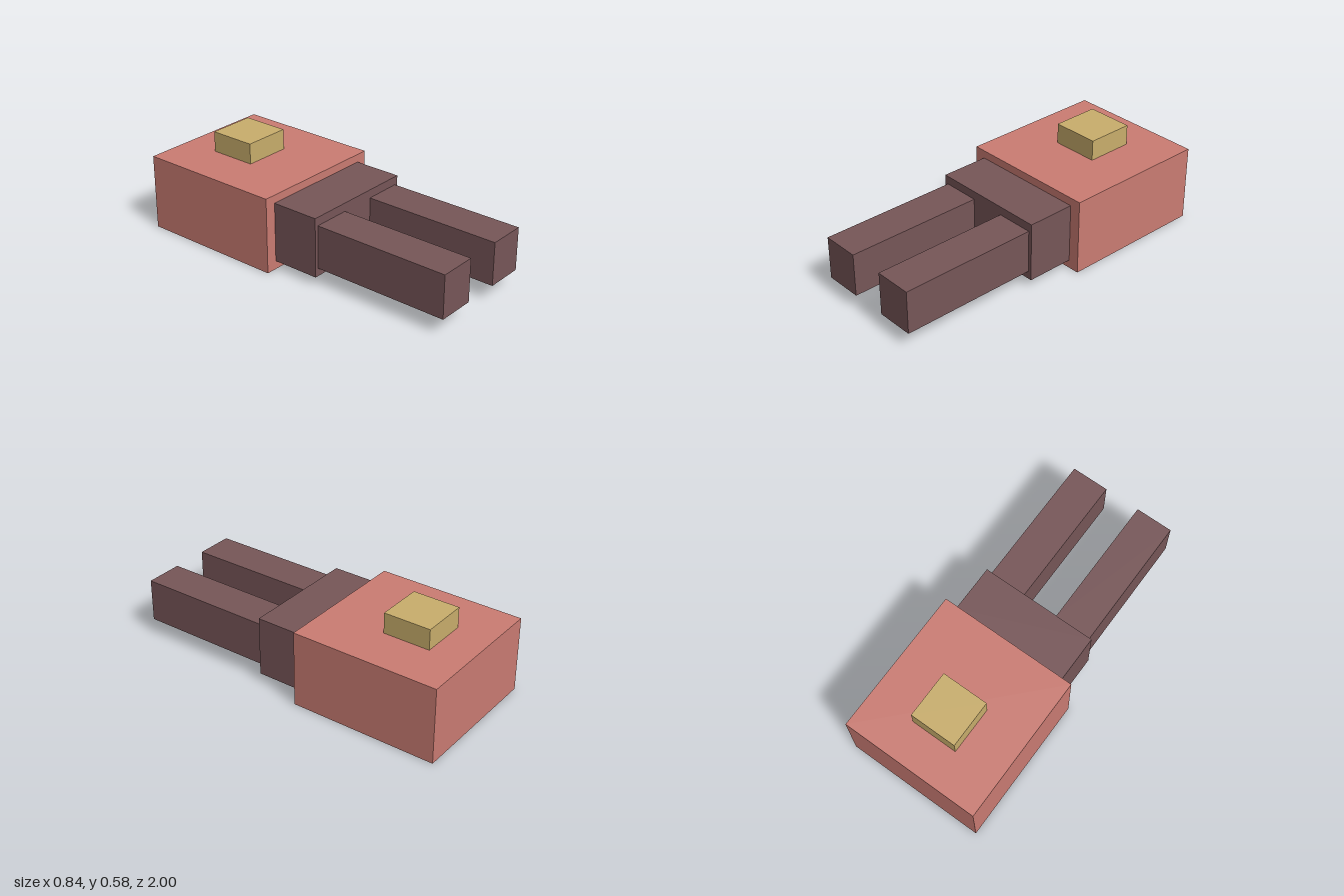
import * as THREE from 'three';

const salmon = new THREE.MeshStandardMaterial({ name: 'salmon', color: 0xcb7c73 });
const brown = new THREE.MeshStandardMaterial({ name: 'dark brown', color: 0x775658 });
const gold = new THREE.MeshStandardMaterial({ name: 'gold', color: 0xc9ae6c });

// Box given by its lower and upper limits on each axis
function block(name, material, [x0, x1], [y0, y1], [z0, z1]) {
  const mesh = new THREE.Mesh(new THREE.BoxGeometry(x1 - x0, y1 - y0, z1 - z0), material);
  mesh.position.set((x0 + x1) / 2, (y0 + y1) / 2, (z0 + z1) / 2);
  mesh.name = name;
  return mesh;
}

export function createModel() {
  const model = new THREE.Group();
  model.name = 'prongedBlock';

  // Main body with a raised button on top
  model.add(block('body', salmon, [-0.422, 0.422], [0, 0.453], [-1, -0.115]));
  model.add(block('button', gold, [-0.141, 0.141], [0.453, 0.576], [-0.778, -0.495]));

  // Collar in front of the body
  model.add(block('collar', brown, [-0.356, 0.356], [0.05, 0.405], [-0.115, 0.175]));

  // Two prongs reaching forward
  model.add(block('leftProng', brown, [0.109, 0.335], [0.098, 0.355], [0.175, 1]));
  model.add(block('rightProng', brown, [-0.335, -0.109], [0.098, 0.355], [0.175, 1]));

  return model;
}
